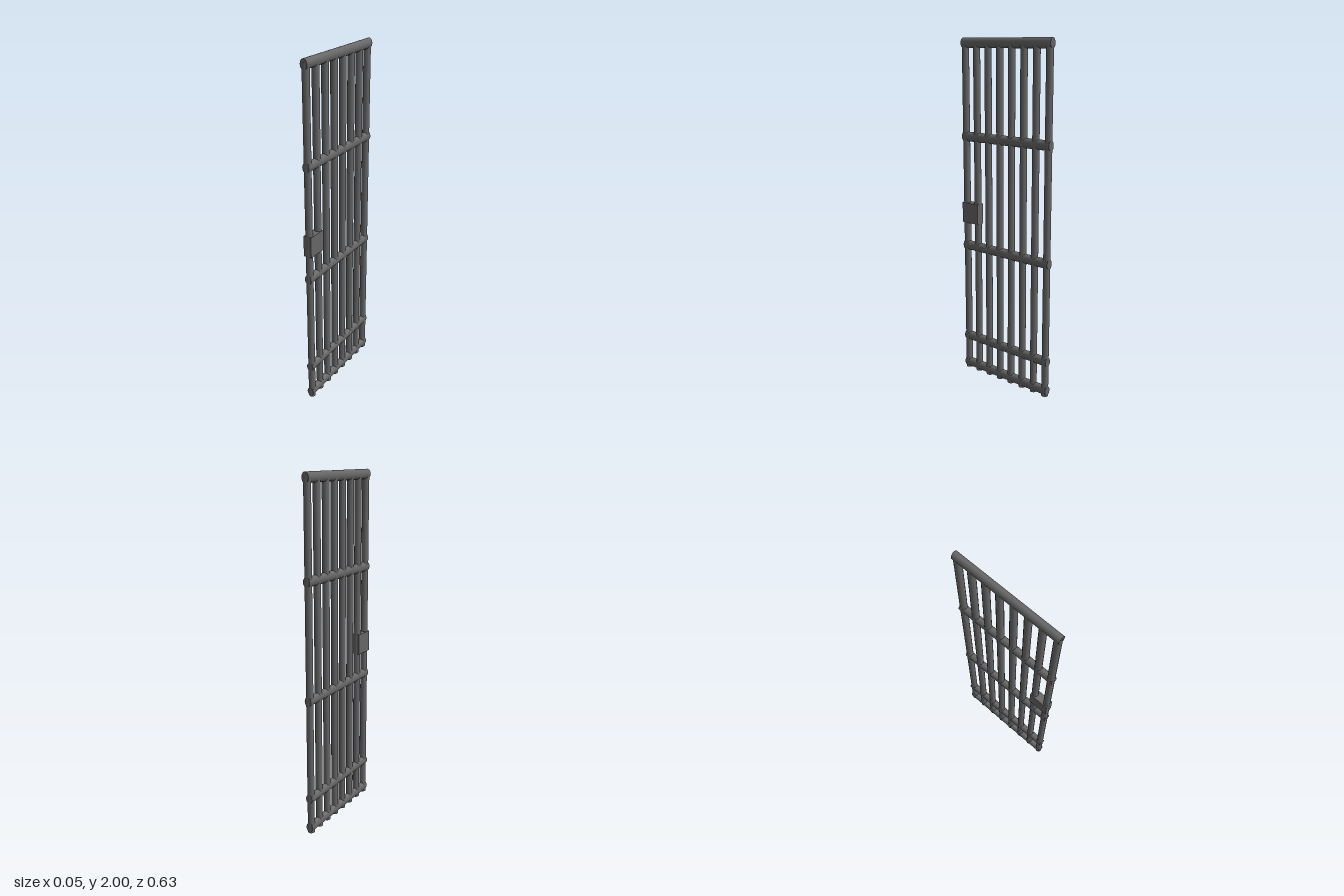
import * as THREE from 'three';

export function createModel() {
  const gate = new THREE.Group();
  gate.name = 'barredGate';
  const metal = new THREE.MeshStandardMaterial({ color: 0x666666 });

  const add = (name, geometry, x, y, z) => {
    const mesh = new THREE.Mesh(geometry, metal);
    mesh.name = name;
    mesh.position.set(x, y, z);
    gate.add(mesh);
    return mesh;
  };

  // Eight round upright bars, the outer two just proud of the rail ends
  const barCount = 8, reach = 0.294;
  const barGeometry = new THREE.CylinderGeometry(0.02, 0.02, 1.98, 16);
  for (let i = 0; i < barCount; i++) {
    add('uprightBar', barGeometry, 0, 0.99, reach - (2 * reach * i) / (barCount - 1));
  }

  // Five oval cross rails running along z
  const railGeometry = new THREE.CylinderGeometry(1, 1, 0.624, 20);
  railGeometry.rotateX(Math.PI / 2);
  railGeometry.scale(0.021, 0.028, 1);
  for (const y of [0.033, 0.212, 0.797, 1.449, 1.972]) add('crossRail', railGeometry, 0, y, 0);

  // Lock case bridging the first two bars
  add('lockCase', new THREE.BoxGeometry(0.048, 0.12, 0.119), 0, 1, 0.2525);

  return gate;
}
